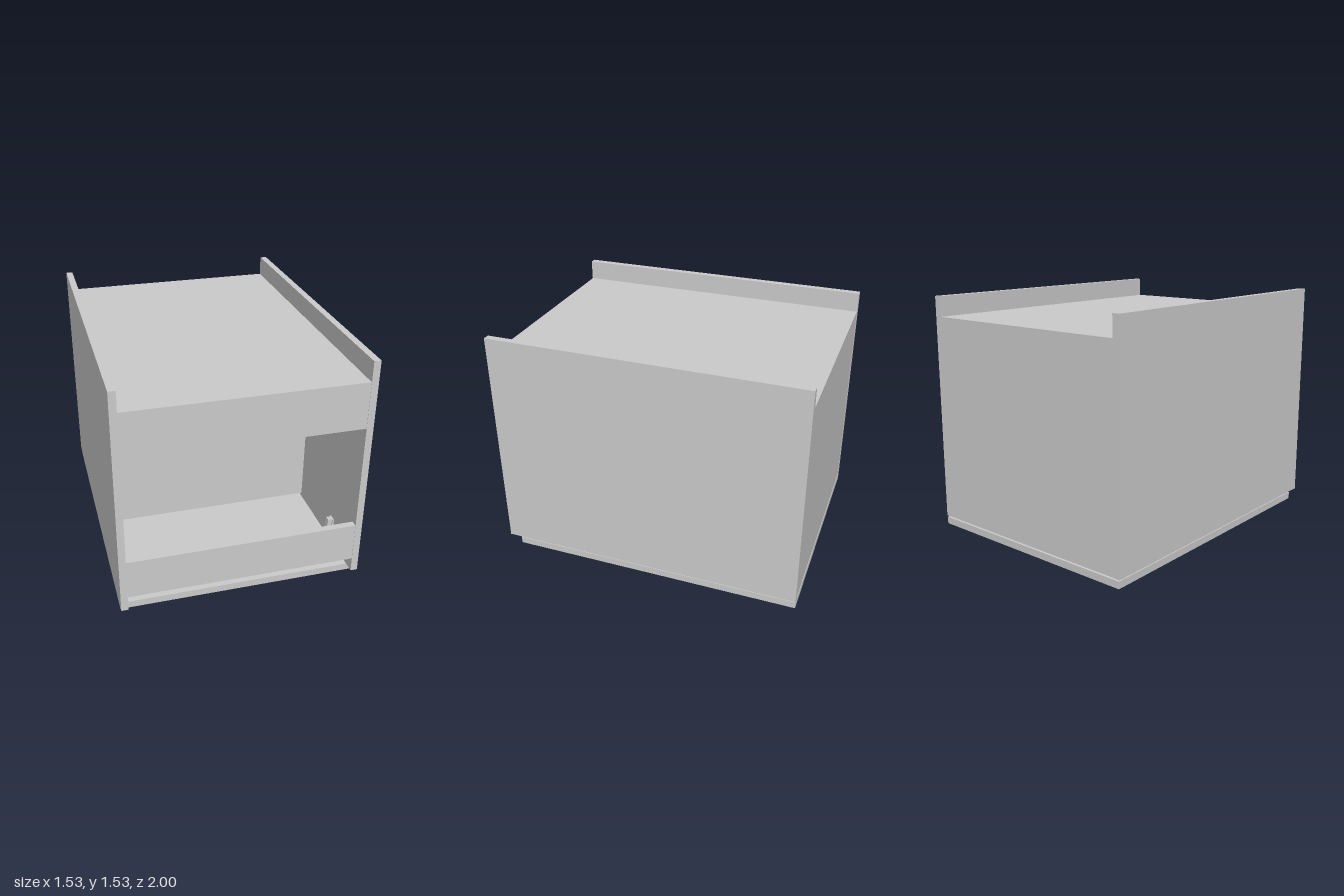
import * as THREE from 'three';

const material = new THREE.MeshStandardMaterial({ color: 0xcccccc });

// Box given by its [min, max] extent on each axis
function slab(name, [x0, x1], [y0, y1], [z0, z1]) {
  const mesh = new THREE.Mesh(new THREE.BoxGeometry(x1 - x0, y1 - y0, z1 - z0), material);
  mesh.position.set((x0 + x1) / 2, (y0 + y1) / 2, (z0 + z1) / 2);
  mesh.name = name;
  return mesh;
}

// Concealed hinge: flange and cup on the door, arm and plate on the side wall
function createHinge(z) {
  const hinge = new THREE.Group();
  hinge.name = 'hinge';

  const cup = new THREE.Mesh(new THREE.CylinderGeometry(0.042, 0.042, 0.008, 24), material);
  cup.name = 'hingeCup';
  cup.position.set(0.675, 0.05, 0);

  // Arm profile in x and y, extruded along z
  const profile = new THREE.Shape([
    [0.655, 0.052], [0.705, 0.052], [0.705, 0.09], [0.712, 0.11],
    [0.712, 0.24], [0.685, 0.24], [0.675, 0.15], [0.67, 0.075],
  ].map(([x, y]) => new THREE.Vector2(x, y)));
  const arm = new THREE.Mesh(
    new THREE.ExtrudeGeometry(profile, { depth: 0.036, bevelEnabled: false }), material);
  arm.name = 'hingeArm';
  arm.position.z = -0.018;

  hinge.add(
    cup, arm,
    slab('hingeFlange', [0.64, 0.705], [0.046, 0.052], [-0.072, 0.072]),
    slab('mountingPlate', [0.712, 0.725], [0.09, 0.24], [-0.025, 0.025]),
    slab('mountingWings', [0.716, 0.725], [0.13, 0.17], [-0.06, 0.06]),
  );
  hinge.position.z = z;
  return hinge;
}

export function createModel() {
  const model = new THREE.Group();
  model.name = 'cabinet';
  const inside = [-0.725, 0.725];

  // Side walls, standing proud of the top panel
  model.add(slab('leftSide', [0.723, 0.767], [0.055, 1.53], [-1, 1]));
  model.add(slab('rightSide', [-0.767, -0.723], [0.055, 1.53], [-1, 1]));

  // Closed back, top panel and inner divider
  model.add(slab('backPanel', inside, [0.055, 1.355], [-0.998, -0.955]));
  model.add(slab('topPanel', inside, [1.355, 1.4], [-0.998, 0.998]));
  model.add(slab('divider', inside, [0.08, 1.355], [0.08, 0.12]));

  // Two rails framing the front openings
  for (const [name, range] of [['upperRail', [1.1, 1.355]], ['lowerRail', [0.15, 0.408]]]) {
    model.add(slab(name, inside, range, [0.955, 0.998]));
  }

  // Door below the body, carried by two hinges
  model.add(slab('door', [-0.762, 0.762], [0, 0.046], [-1, 0.92]));
  for (const z of [0.67, -0.745]) model.add(createHinge(z));

  return model;
}
